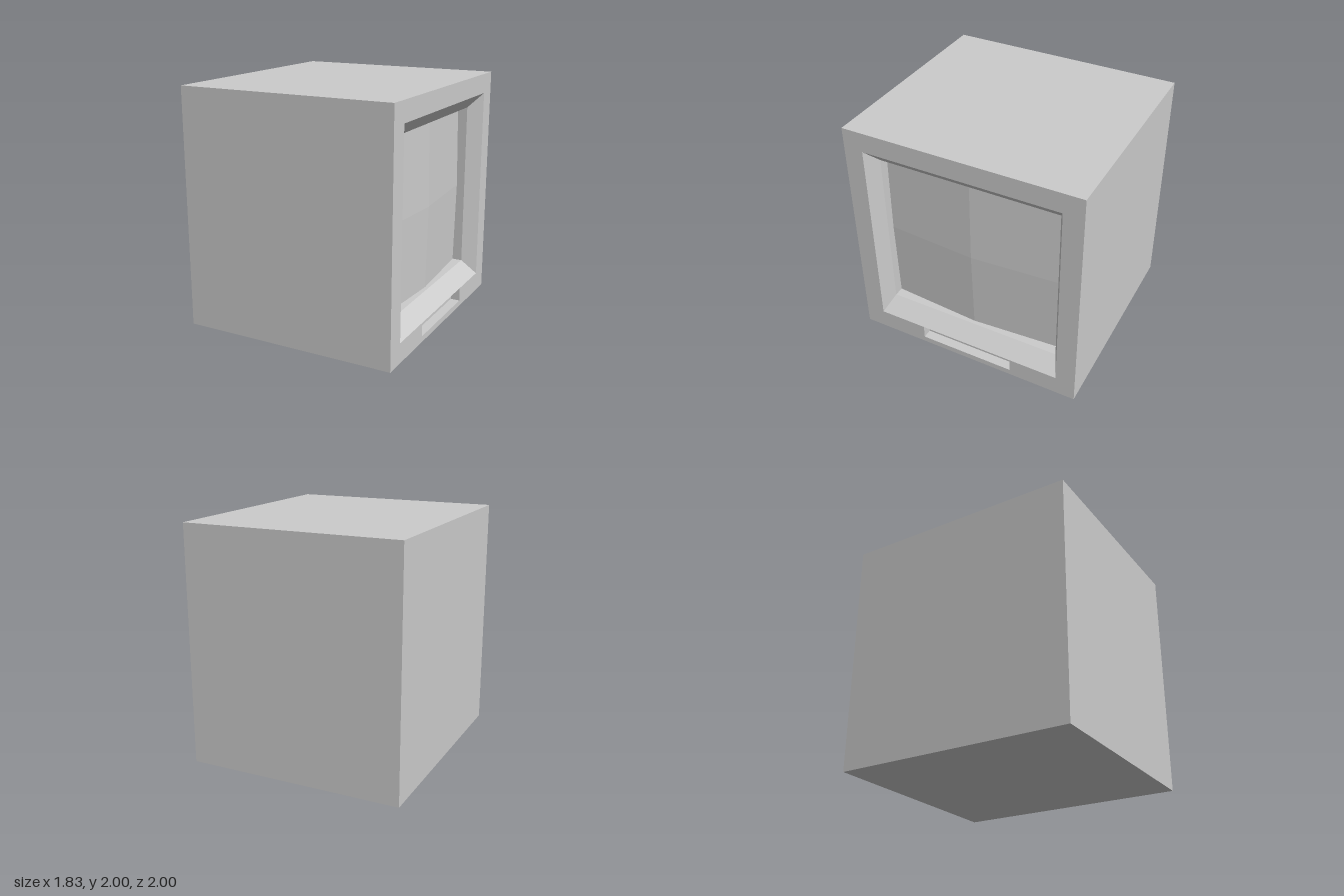
import * as THREE from 'three';

const HALF_X = 0.913;      // half depth of the cabinet; the screen side is +x
const LIP = 0.167;         // height of the lower edge of the screen opening
const material = new THREE.MeshStandardMaterial({ color: 0xcccccc, flatShading: true });

// Rectangular ring of 8 points (corners and edge middles) around z = 0.
// x is the corner position; alongZ and alongY push the edge middles outwards.
function ring(x, halfZ, y0, y1, alongZ = 0, alongY = 0) {
  const mid = (y0 + y1) / 2;
  return [
    [x, y0, halfZ], [x + alongZ, y0, 0], [x, y0, -halfZ], [x + alongY, mid, -halfZ],
    [x, y1, -halfZ], [x + alongZ, y1, 0], [x, y1, halfZ], [x + alongY, mid, halfZ],
  ];
}

// Walls joining consecutive rings
function loft(...rings) {
  const pos = [];
  for (let r = 0; r + 1 < rings.length; r++) {
    const a = rings[r], b = rings[r + 1];
    for (let i = 0; i < a.length; i++) {
      const j = (i + 1) % a.length;
      pos.push(...a[i], ...a[j], ...b[j], ...a[i], ...b[j], ...b[i]);
    }
  }
  const geometry = new THREE.BufferGeometry();
  geometry.setAttribute('position', new THREE.Float32BufferAttribute(pos, 3));
  geometry.computeVertexNormals();
  return geometry;
}

// Flat panel facing +x (or -x when turned)
function panel(x, halfZ, y0, y1, side = 1, segments = 1) {
  return new THREE.PlaneGeometry(2 * halfZ, y1 - y0, segments, segments)
    .rotateY(side * Math.PI / 2)
    .translate(x, (y0 + y1) / 2, 0);
}

export function createModel() {
  const model = new THREE.Group();
  model.name = 'boxMonitor';
  const add = (name, geometry) => {
    const mesh = new THREE.Mesh(geometry, material);
    mesh.name = name;
    model.add(mesh);
  };

  // Cabinet sides and rear
  add('cabinet', loft(ring(-HALF_X, 1, 0, 2), ring(HALF_X, 1, 0, 2)));
  add('rearPanel', panel(-HALF_X, 1, 0, 2, -1));

  // Face plate, with one cut-out for the screen and the slot joined below it
  const plate = new THREE.Shape([[-1, 0], [1, 0], [1, 2], [-1, 2]].map(p => new THREE.Vector2(...p)));
  plate.holes.push(new THREE.Path([
    [-0.833, LIP], [-0.833, 2 - LIP], [0.833, 2 - LIP], [0.833, LIP],
    [0.415, LIP], [0.415, 0.05], [-0.415, 0.05], [-0.415, LIP],
  ].map(p => new THREE.Vector2(...p))));
  add('facePlate', new THREE.ShapeGeometry(plate).rotateY(Math.PI / 2).translate(HALF_X, 0, 0));

  // Sloped bezel, then a straight wall following the bulged screen edge
  const inner = [0.77, 0.293, 1.707];
  const edgeX = HALF_X - 0.21, bulgeZ = 0.052, bulgeY = 0.015;
  add('bezel', loft(
    ring(HALF_X, 0.833, LIP, 2 - LIP),
    ring(HALF_X - 0.125, ...inner),
    ring(edgeX, ...inner, bulgeZ, bulgeY),
  ));

  // Screen, gently bulged towards its middle
  const screen = panel(edgeX, ...inner, 1, 2);
  const p = screen.attributes.position;
  for (let i = 0; i < p.count; i++) {
    const u = Math.abs(p.getZ(i)) / inner[0];
    const v = Math.abs(p.getY(i) - 1) / (inner[2] - 1);
    p.setX(i, edgeX + bulgeZ * (1 - u) + bulgeY * (1 - v));
  }
  screen.computeVertexNormals();
  add('screen', screen);

  // Control slot under the screen
  const slot = [0.415, 0.05, LIP];
  add('slotWalls', loft(ring(HALF_X, ...slot), ring(HALF_X - 0.08, ...slot)));
  add('slotBack', panel(HALF_X - 0.08, ...slot));

  return model;
}
